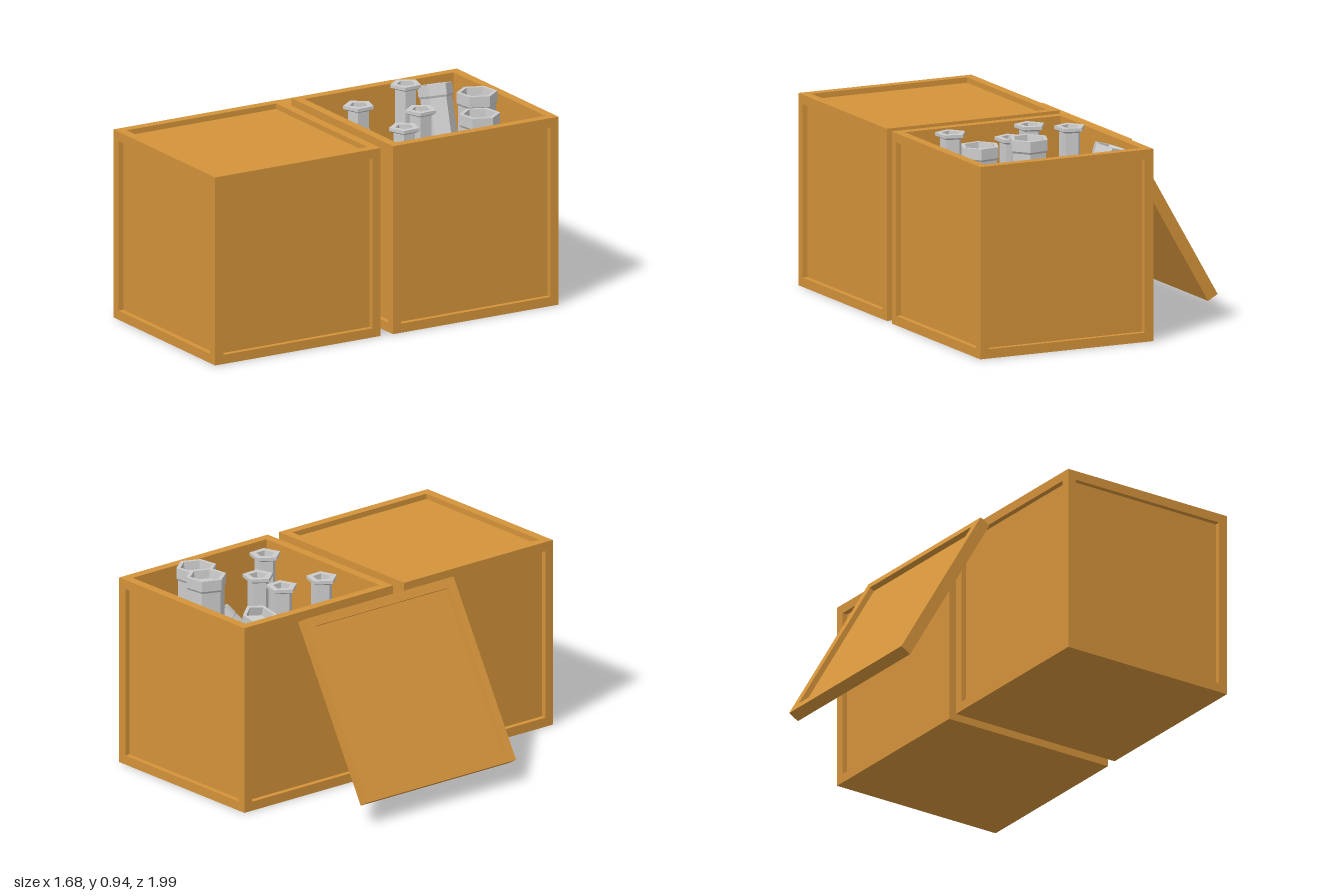
import * as THREE from 'three';

const wood = new THREE.MeshStandardMaterial({ color: 0xd4933a, flatShading: true });
const darkWood = new THREE.MeshStandardMaterial({ color: 0x94703a, flatShading: true });
const floorWood = new THREE.MeshStandardMaterial({ color: 0xb0700f, flatShading: true });
const grey = new THREE.MeshStandardMaterial({ color: 0xcccccc, flatShading: true, side: THREE.DoubleSide });

const W = 0.87, H = 0.88, B = 0.043, INSET = 0.025; // crate width, height, beam size, panel recess
const TURN = -20.4 * Math.PI / 180;

function box(parent, name, size, pos, material = wood) {
  const mesh = new THREE.Mesh(new THREE.BoxGeometry(...size), material);
  mesh.position.set(...pos);
  mesh.name = name;
  parent.add(mesh);
  return mesh;
}

// Beam frame with recessed side panels and a flat base
function crate(name, closed) {
  const g = new THREE.Group();
  g.name = name;
  const e = W / 2 - B / 2, inner = W - 2 * B, t = B - INSET;
  box(g, 'base', [W, B, W], [0, B / 2, 0]);
  for (const s of [-1, 1]) {
    for (const r of [-1, 1]) box(g, 'cornerPost', [B, H - B, B], [s * e, (H + B) / 2, r * e]);
    box(g, 'topRail', [inner, B, B], [0, H - B / 2, s * e]);
    box(g, 'topRail', [B, B, inner], [s * e, H - B / 2, 0]);
    const p = s * (W / 2 - INSET - t / 2);
    box(g, 'sidePanel', [inner, H - 2 * B, t], [0, H / 2, p]);
    box(g, 'sidePanel', [t, H - 2 * B, inner], [p, H / 2, 0]);
  }
  if (closed) box(g, 'topPanel', [inner, t, inner], [0, H - INSET - t / 2, 0]);
  g.rotation.y = TURN;
  return g;
}

// Square lid: flat underside, raised border around a recessed face
function lid() {
  const g = new THREE.Group();
  g.name = 'lid';
  const T = 0.055, inner = W - 2 * B, e = W / 2 - B / 2;
  for (const s of [-1, 1]) {
    box(g, 'lidRail', [W, T, B], [0, 0, s * e]);
    box(g, 'lidRail', [B, T, inner], [s * e, 0, 0]);
  }
  box(g, 'lidPanel', [inner, T - INSET, inner], [0, -INSET / 2, 0]);
  return g;
}

// Faceted turned part standing on its origin
function turned(name, profile, sides, turn = 0) {
  const pts = profile.map(([r, y]) => new THREE.Vector2(r, y));
  const mesh = new THREE.Mesh(new THREE.LatheGeometry(pts, sides, turn), grey);
  mesh.name = name;
  return mesh;
}

function bottle(h) {
  return turned('bottle', [
    [0, 0], [0.135, 0], [0.135, 0.36], [0.11, 0.46], [0.05, 0.53], [0.05, h - 0.025],
    [0.072, h - 0.015], [0.072, h], [0.042, h], [0.036, h - 0.08], [0, h - 0.08],
  ], 5, Math.PI);
}

function canister(h, r, name = 'canister') {
  return turned(name, [
    [0, 0], [r * 0.92, 0], [r * 0.92, h - 0.06], [r, h - 0.05], [r, h],
    [r * 0.8, h], [r * 0.75, h - 0.04], [0, h - 0.04],
  ], 6, 0.3);
}

// Stands a part at one point with its axis aimed at another
function aim(mesh, from, to) {
  const a = new THREE.Vector3(...from), d = new THREE.Vector3(...to).sub(a).normalize();
  mesh.position.copy(a);
  mesh.quaternion.setFromUnitVectors(new THREE.Vector3(0, 1, 0), d);
  return mesh;
}

export function createModel() {
  const model = new THREE.Group();
  model.name = 'crates';

  const closed = crate('closedCrate', true);
  closed.position.set(-0.05, 0, 0.43);
  const open = crate('openCrate', false);
  open.position.set(0.28, 0, -0.44);
  model.add(closed, open);

  // Floor of the open crate: four boards framed by a ring and a cross
  const inner = W - 2 * B, bar = 0.05, FY = 0.07;
  box(open, 'floorBoard', [inner, 0.015, inner], [0, B + 0.006, 0], floorWood);
  for (const s of [-1, 0, 1]) {
    const p = s * (inner - bar) / 2;
    box(open, 'floorBar', [bar, FY - B, inner], [p, (FY + B) / 2, 0], darkWood);
    box(open, 'floorBar', [inner, FY - B - 0.002, bar], [0, (FY + B) / 2 - 0.001, p], darkWood);
  }

  // Lid leaning on the side of the open crate
  const cover = lid();
  cover.rotation.z = Math.PI / 3;
  cover.position.set(-0.678, 0.473, 0.313);
  open.add(cover);

  // Contents
  const contents = new THREE.Group();
  contents.name = 'contents';
  model.add(contents);
  for (const [x, z, top] of [[0.085, -0.55, 0.93], [0.3, -0.385, 0.89], [0.04, -0.265, 0.89], [0.41, -0.125, 0.89]]) {
    const b = bottle(top - FY);
    b.position.set(x, FY, z);
    contents.add(b);
  }
  for (const [x, z, top] of [[0.435, -0.62, 0.94], [0.58, -0.455, 0.905]]) {
    const c = canister(top - FY, 0.093);
    c.position.set(x, FY, z);
    contents.add(c);
  }
  contents.add(aim(canister(0.79, 0.08, 'leaningCanister'), [0.27, 0.11, -0.69], [0.07, 0.86, -0.78]));
  contents.add(aim(canister(0.22, 0.036, 'smallTube'), [0.07, 0.54, -0.395], [-0.06, 0.69, -0.43]));
  contents.add(aim(canister(0.22, 0.036, 'smallTube'), [0.37, 0.52, -0.28], [0.49, 0.66, -0.345]));
  return model;
}
